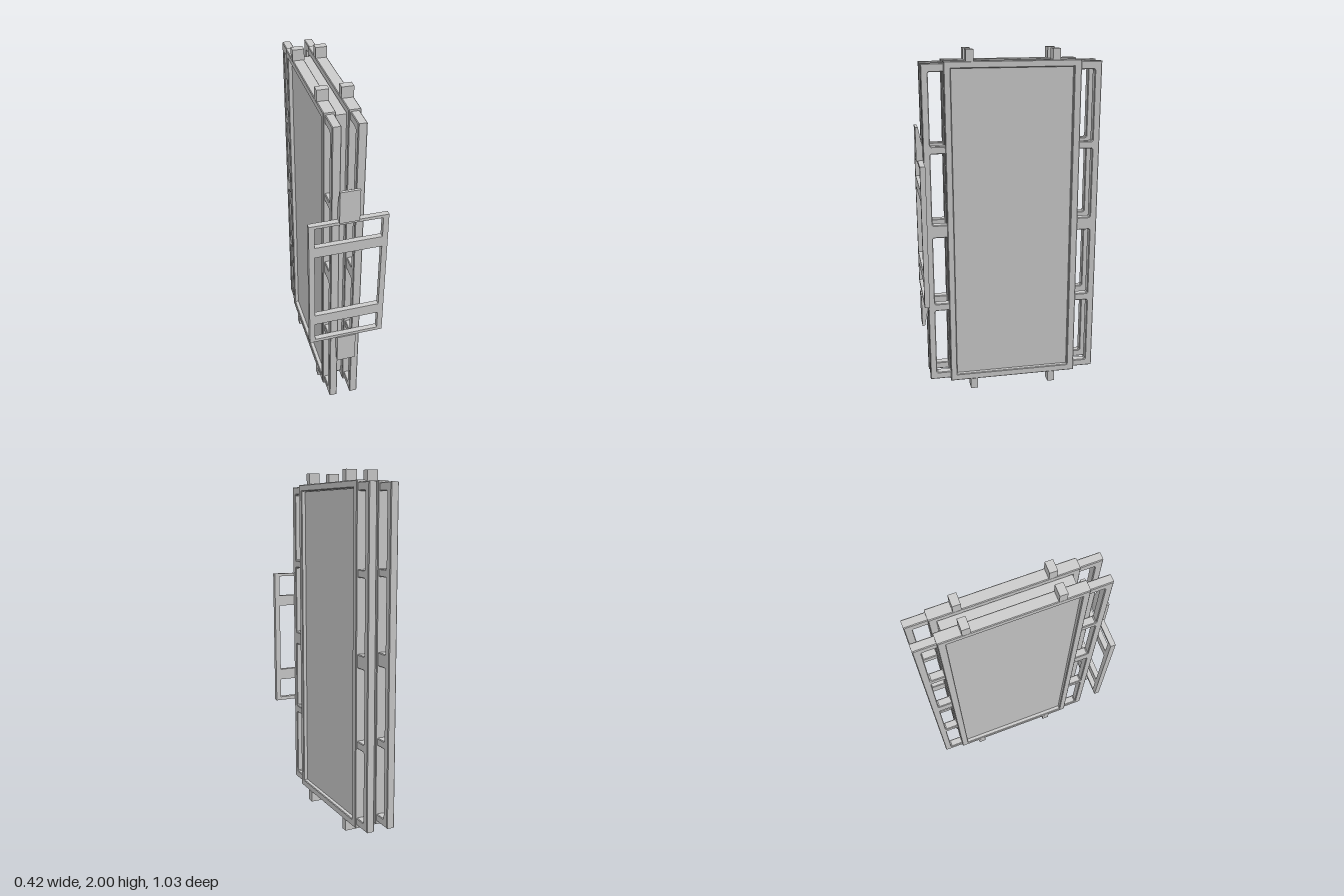
import * as THREE from 'three';

const material = new THREE.MeshStandardMaterial({ color: 0xcccccc, flatShading: true });

function add(parent, name, geometry) {
  const mesh = new THREE.Mesh(geometry, material);
  mesh.name = name;
  parent.add(mesh);
  return mesh;
}

function rectPath(path, a0, a1, b0, b1) {
  path.moveTo(a0, b0);
  path.lineTo(a1, b0);
  path.lineTo(a1, b1);
  path.lineTo(a0, b1);
  path.closePath();
  return path;
}

// Box from its minimum and maximum on each axis
function box(x0, x1, y0, y1, z0, z1) {
  return new THREE.BoxGeometry(x1 - x0, y1 - y0, z1 - z0)
    .translate((x0 + x1) / 2, (y0 + y1) / 2, (z0 + z1) / 2);
}

// Extrude a side profile drawn in (z, y) between x0 and x1, with a small bevel
function sideExtrude(shape, x0, x1, bevel = 0.004) {
  return new THREE.ExtrudeGeometry(shape, {
    depth: x1 - x0 - 2 * bevel, bevelEnabled: bevel > 0,
    bevelThickness: bevel, bevelSize: bevel, bevelOffset: -bevel, bevelSegments: 1,
  }).rotateY(-Math.PI / 2).translate(x1 - bevel, 0, 0);
}

// Comb outline: a vertical rail with teeth reaching back to the panel frame
const teeth = [[0.08, 0.122], [0.52, 0.563], [0.965, 1.04], [1.445, 1.487], [1.885, 1.93]];
function combShape(outer, inner, root) {
  const pts = [[outer, 0.08]];
  const f = 0.006 * Math.sign(root - inner);
  teeth.forEach(([lo, hi], i) => {
    if (i > 0) pts.push([inner, lo - 0.006], [inner + f, lo]);
    pts.push([root, lo], [root, hi]);
    if (i < teeth.length - 1) pts.push([inner + f, hi], [inner, hi + 0.006]);
  });
  pts.push([outer, 1.93]);
  return new THREE.Shape(pts.map(([z, y]) => new THREE.Vector2(z, y)));
}

export function createModel() {
  const model = new THREE.Group();
  model.name = 'framedPanel';

  // Core slab, recessed inside both frames
  add(model, 'corePanel', box(-0.07, 0.07, 0.1, 1.9, -0.358, 0.32));

  for (const [side, x0, x1] of [['left', 0.031, 0.094], ['right', -0.094, -0.031]]) {
    const half = new THREE.Group();
    half.name = side + 'Side';
    model.add(half);

    // Rectangular frame around the panel
    const frame = rectPath(new THREE.Shape(), -0.398, 0.358, 0.062, 1.94);
    frame.holes.push(rectPath(new THREE.Path(), -0.356, 0.32, 0.102, 1.902));
    add(half, side + 'Frame', sideExtrude(frame, x0, x1));

    // Pegs on the top and bottom edges
    for (const z of [0.218, -0.256]) {
      for (const [y0, y1] of [[0, 0.064], [1.938, 2]]) {
        add(half, side + 'Peg', box(x0, x1, y0, y1, z - 0.021, z + 0.021));
      }
    }

    // Front and back rails with their connecting stubs
    const r0 = (x0 + x1) / 2 - 0.023, r1 = r0 + 0.046;
    add(half, side + 'FrontRail', sideExtrude(combShape(0.479, 0.44, 0.35), r0, r1));
    add(half, side + 'BackRail', sideExtrude(combShape(-0.515, -0.475, -0.39), r0, r1));
  }

  // Ladder-shaped handle across the front
  const ladder = rectPath(new THREE.Shape(), -0.21, 0.21, 0.6, 1.407);
  for (const [y0, y1] of [[0.62, 0.735], [0.8, 1.207], [1.27, 1.39]]) {
    ladder.holes.push(rectPath(new THREE.Path(), -0.18, 0.18, y0, y1));
  }
  add(model, 'handleLadder', new THREE.ExtrudeGeometry(ladder, { depth: 0.029, bevelEnabled: false })
    .translate(0, 0, 0.479));

  // Tapered tabs above and below the handle, mirrored about its middle
  for (const [name, s] of [['upperTab', 1], ['lowerTab', -1]]) {
    const pts = [[0.479, 0.4], [0.515, 0.4], [0.515, 0.585], [0.5, 0.585], [0.479, 0.48]]
      .map(([z, y]) => new THREE.Vector2(z, 1.004 + s * y));
    add(model, name, sideExtrude(new THREE.Shape(pts), -0.053, 0.053, 0));
  }

  return model;
}
